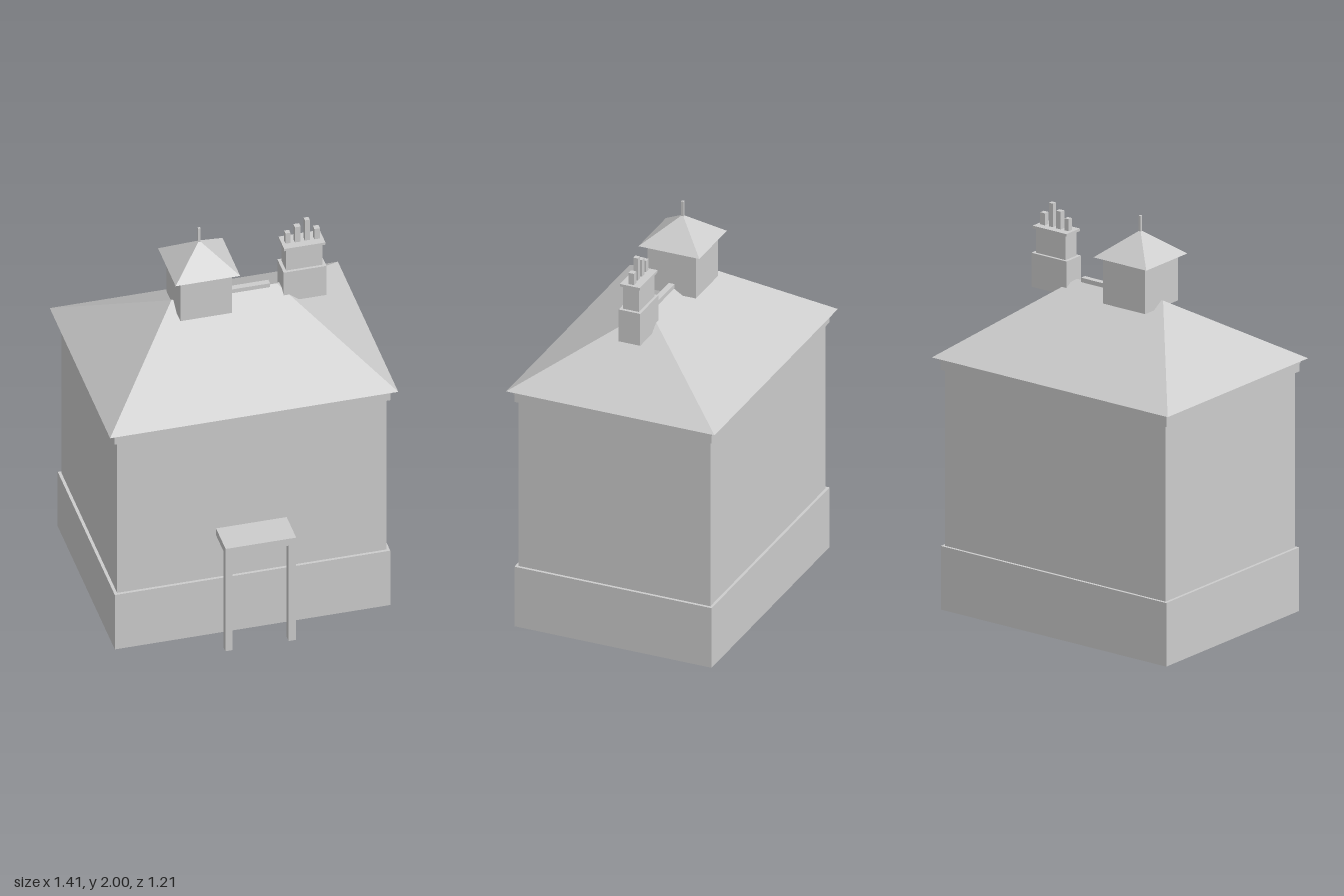
import * as THREE from 'three';

const stone = new THREE.MeshStandardMaterial({ color: 0xcccccc, side: THREE.DoubleSide });
stone.name = 'pale grey';

// The house body is set back from the porch
const CZ = -0.064;

// Box given by its extents on each axis
function box(parent, name, [x0, x1], [y0, y1], [z0, z1]) {
  const mesh = new THREE.Mesh(new THREE.BoxGeometry(x1 - x0, y1 - y0, z1 - z0), stone);
  mesh.position.set((x0 + x1) / 2, (y0 + y1) / 2, (z0 + z1) / 2);
  mesh.name = name;
  parent.add(mesh);
  return mesh;
}

// Removes one side of a box: 0 +x, 1 -x, 2 +y, 3 -y, 4 +z, 5 -z
function dropSide(geometry, side) {
  const index = Array.from(geometry.index.array);
  index.splice(side * 6, 6);
  geometry.setIndex(index);
  geometry.clearGroups();
}

// Hip roof: a box whose top is pinched to a ridge (or to a point)
function hipRoof(parent, name, xs, ys, zs, halfRidge) {
  const mesh = box(parent, name, xs, ys, zs);
  dropSide(mesh.geometry, 2);
  const p = mesh.geometry.attributes.position;
  for (let i = 0; i < p.count; i++) {
    if (p.getY(i) > 0) {
      p.setX(i, Math.sign(p.getX(i)) * halfRidge);
      p.setZ(i, 0);
    }
  }
  mesh.geometry = mesh.geometry.toNonIndexed();
  mesh.geometry.computeVertexNormals();
  return mesh;
}

const around = (c, half) => [c - half, c + half];

export function createModel() {
  const model = new THREE.Group();
  model.name = 'house';

  // Walls; the plinth is open underneath
  const plinth = box(model, 'plinth', around(0, 0.675), [0, 0.318], around(CZ, 0.512));
  dropSide(plinth.geometry, 3);
  box(model, 'walls', around(0, 0.66), [0.318, 1.2], around(CZ, 0.498));
  box(model, 'corniceLower', around(0, 0.676), [1.198, 1.24], around(CZ, 0.511));
  box(model, 'corniceUpper', around(0, 0.68), [1.24, 1.257], around(CZ, 0.515));

  // Main roof and ridge capping
  hipRoof(model, 'roof', around(0, 0.706), [1.262, 1.603], around(CZ, 0.541), 0.258);
  box(model, 'roofCore', around(0, 0.66), [1.25, 1.264], around(CZ, 0.498));
  box(model, 'ridgeCap', [0, 0.222], [1.598, 1.62], around(CZ, 0.015));

  // Cupola
  const cupola = new THREE.Group();
  cupola.name = 'cupola';
  model.add(cupola);
  box(cupola, 'cupolaBody', around(-0.122, 0.126), [1.567, 1.802], around(CZ, 0.126));
  hipRoof(cupola, 'cupolaRoof', around(-0.122, 0.158), [1.8, 1.927], around(CZ, 0.158), 0);
  box(cupola, 'finial', around(-0.122, 0.006), [1.915, 2], around(CZ, 0.006));

  // Chimney with four pots
  const chimney = new THREE.Group();
  chimney.name = 'chimney';
  model.add(chimney);
  box(chimney, 'chimneyBase', around(0.382, 0.105), [1.53, 1.7], around(CZ, 0.056));
  box(chimney, 'chimneyStack', around(0.382, 0.089), [1.7, 1.824], around(CZ, 0.042));
  box(chimney, 'chimneyCap', around(0.382, 0.101), [1.822, 1.835], around(CZ, 0.052));
  [[0.31, 1.895, 0.012], [0.358, 1.923, 0.014], [0.405, 1.953, 0.012], [0.453, 1.895, 0.014]]
    .forEach(([x, top, half], i) =>
      box(chimney, `chimneyPot${i + 1}`, around(x, half), [1.835, top], around(CZ, half)));

  // Porch canopy on two posts
  const porch = new THREE.Group();
  porch.name = 'porch';
  model.add(porch);
  box(porch, 'canopy', around(-0.002, 0.173), [0.562, 0.602], [0.432, 0.605]);
  for (const s of [-1, 1]) {
    box(porch, s < 0 ? 'rightPost' : 'leftPost', around(-0.002 + s * 0.155, 0.018), [0, 0.562], [0.565, 0.6]);
  }

  return model;
}
